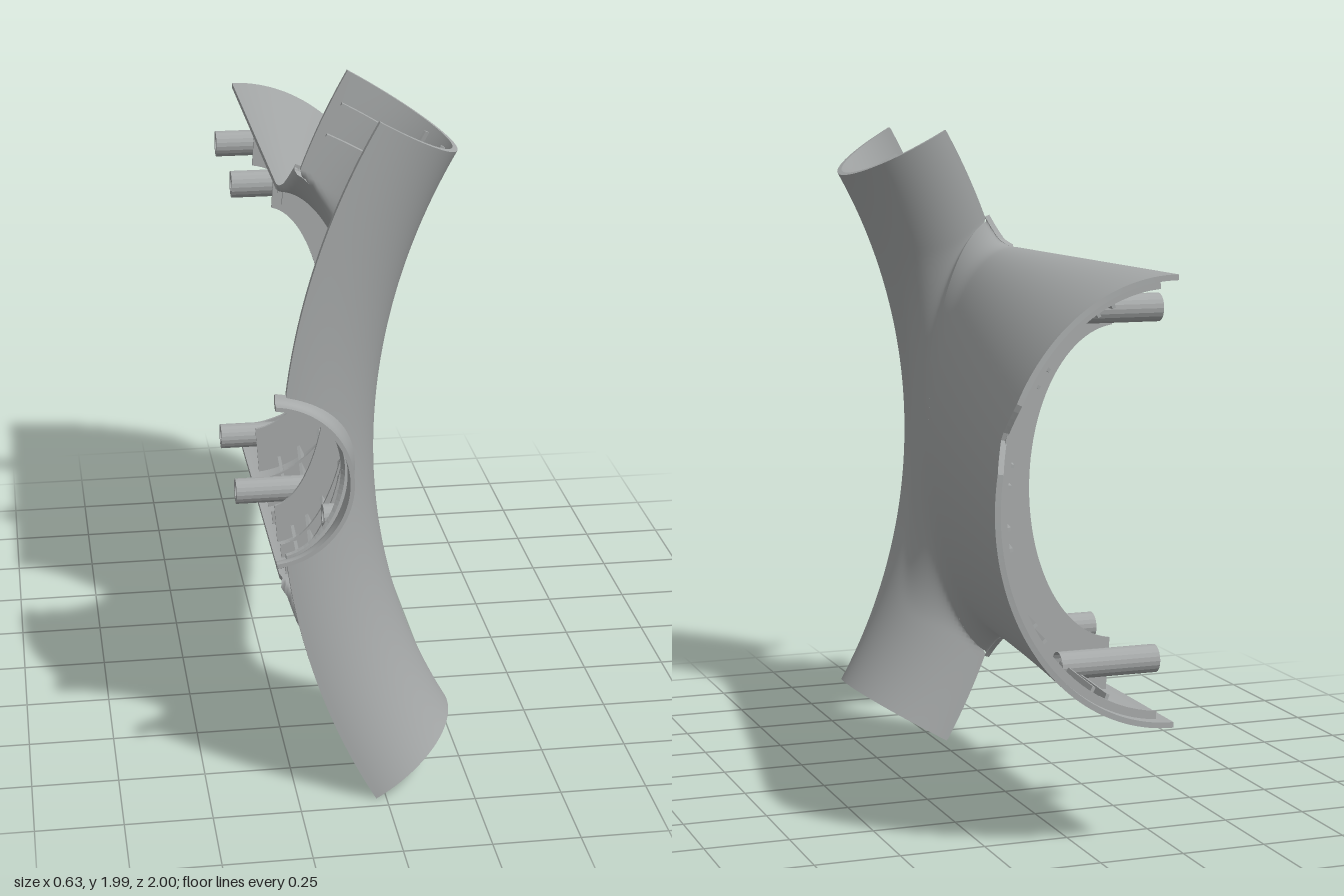
import * as THREE from 'three';
import { mergeGeometries } from 'three/addons/utils/BufferGeometryUtils.js';

const { sqrt, sin, cos, max, min, abs, sign, PI } = Math;
const clamp = THREE.MathUtils.clamp;

// Curved half tube: centre line is an arc in the xy plane
const ARC_X = 1.69, ARC_R = 1.985, TUBE_R = 0.295, TUBE_Z = 0.665, ARC_ANGLE = 0.5236;
// Round opening in the front of the tube
const HOLE_X = -0.335, HOLE_R = 0.224;
// Tapered half barrel
const EDGE_X = -0.215, WALL = 0.016;

const depthAt = z => 0.528 - 0.205 * (z + 1);
const filletAt = z => clamp((z - 0.23) / 0.14, 0, 1);
const halfHeightAt = z => 0.628 + 0.09 * filletAt(z) ** 2.5;

function barrelPoint(a, z, inset = 0) {
  const y = 1 + (halfHeightAt(z) - inset) * sin(a);
  const x = EDGE_X + (depthAt(z) - inset) * cos(a);
  // the open edge bends over to meet the edge of the tube
  const tubeEdge = ARC_X - sqrt(ARC_R * ARC_R - (y - 1) * (y - 1));
  const lowest = EDGE_X + (tubeEdge - EDGE_X) * min(1, 1.8 * filletAt(z));
  return [max(x, lowest), y, z];
}
function barrelX(y, z) {
  const q = abs(y - 1) / halfHeightAt(z);
  return q < 1 ? EDGE_X + depthAt(z) * sqrt(1 - q * q) : -9;
}
function smoothMax(a, b, k) {
  const h = max(k - abs(a - b), 0);
  return max(a, b) + (k > 0.0001 ? h * h / (4 * k) : 0);
}
function tubeFrontZ(x, y) {
  const d = clamp(ARC_R - Math.hypot(x - ARC_X, y - 1), 0, TUBE_R);
  return TUBE_Z + sqrt(TUBE_R * TUBE_R - d * d);
}

// Thin closed wall from a grid of points: outer skin, inner skin and rims
function shell(nu, nv, point, wall = WALL) {
  const pos = [], drop = [], index = [], edges = new Map();
  for (let i = 0; i <= nu; i++) for (let j = 0; j <= nv; j++) {
    const p = point(i / nu, j / nv);
    pos.push(p[0], p[1], p[2]);
    drop.push(!!p[3]);
  }
  const addFace = (a, b, c) => {
    if (drop[a] && drop[b] && drop[c]) return;
    index.push(a, b, c);
    for (const [s, e] of [[a, b], [b, c], [c, a]]) {
      if (!edges.delete(e + '_' + s)) edges.set(s + '_' + e, [s, e]);
    }
  };
  for (let i = 0; i < nu; i++) for (let j = 0; j < nv; j++) {
    const a = i * (nv + 1) + j, b = a + nv + 1;
    addFace(a, b, a + 1);
    addFace(b, b + 1, a + 1);
  }
  const outer = new THREE.BufferGeometry();
  outer.setAttribute('position', new THREE.Float32BufferAttribute(pos, 3));
  outer.setIndex(index);
  outer.computeVertexNormals();
  const n = outer.attributes.normal.array;
  const inPos = pos.map((v, k) => v - n[k] * wall);
  const inner = new THREE.BufferGeometry();
  inner.setAttribute('position', new THREE.Float32BufferAttribute(inPos, 3));
  const flipped = [];
  for (let k = 0; k < index.length; k += 3) flipped.push(index[k], index[k + 2], index[k + 1]);
  inner.setIndex(flipped);
  inner.computeVertexNormals();
  const rimPos = [];
  const at = (arr, k) => arr.slice(k * 3, k * 3 + 3);
  for (const [s, e] of edges.values()) {
    const a = at(pos, s), b = at(pos, e), c = at(inPos, s), d = at(inPos, e);
    rimPos.push(...a, ...c, ...b, ...b, ...c, ...d);
  }
  const rim = new THREE.BufferGeometry();
  rim.setAttribute('position', new THREE.Float32BufferAttribute(rimPos, 3));
  rim.computeVertexNormals();
  return mergeGeometries([outer.toNonIndexed(), inner.toNonIndexed(), rim]);
}

export function createModel() {
  const model = new THREE.Group();
  model.name = 'pipeJunctionHalf';
  const grey = new THREE.MeshStandardMaterial({ color: 0xa6a9a9, side: THREE.DoubleSide });
  grey.name = 'plasticGrey';
  const add = (name, geometry) => {
    const mesh = new THREE.Mesh(geometry, grey);
    mesh.name = name;
    model.add(mesh);
    return mesh;
  };

  // Tapered barrel, with a small V notch in its back rim
  add('barrelShell', shell(90, 60, (u, v) => {
    const a = (u - 0.5) * PI;
    const notch = max(0, 0.05 - 0.55 * abs(0.628 * sin(a) - 0.2)) * (1 - v) ** 12;
    const z = v < 0.6 ? -1 + 1.23 * v / 0.6 : 0.23 + 0.14 * sin((v - 0.6) / 0.4 * PI / 2);
    return barrelPoint(a, z + notch);
  }));

  // Curved half tube, swelling into the barrel behind and cut by the round opening
  add('curvedTubeShell', shell(140, 56, (u, v) => {
    const a = (u - 0.5) * 2 * ARC_ANGLE, t = PI * (1 - v);
    const r = ARC_R - TUBE_R * sin(t);
    let x = ARC_X - r * cos(a), y = 1 + r * sin(a), z = TUBE_Z + TUBE_R * cos(t), inside = false;
    if (z < TUBE_Z) {
      const blend = 0.14 * sin(PI * min(1, (TUBE_Z - z) / TUBE_R));
      x = smoothMax(x, barrelX(y, z), blend);
    } else {
      const dx = x - HOLE_X, dy = y - 1, d = Math.hypot(dx, dy);
      if (d < HOLE_R) {
        inside = true;
        x = HOLE_X + dx / d * HOLE_R;
        y = 1 + dy / d * HOLE_R;
        z = tubeFrontZ(x, y);
      }
    }
    return [x, y, z, inside];
  }));

  // Collar standing out around the opening
  add('openingCollar', shell(48, 8, (u, v) => {
    const a = (u - 0.5) * 2.94;
    const r = HOLE_R + 0.012 + 0.022 * (1 - v) ** 4;
    const x = HOLE_X + r * cos(a), y = 1 + r * sin(a);
    const base = tubeFrontZ(x, y) - 0.004;
    return [x, y, base + (1 - base) * v];
  }, 0.012));

  // Cross ribs inside the barrel, two of them deep: [z, depth]
  const crossRibs = [[-0.95, 0.03], [-0.58, 0.16], [-0.42, 0.05], [-0.28, 0.05],
    [-0.14, 0.05], [0, 0.13], [0.12, 0.05], [0.24, 0.05]];
  for (const [z, depth] of crossRibs) {
    add('barrelCrossRib', shell(48, 1, (u, v) =>
      barrelPoint((u - 0.5) * 3.0, z, 0.01 + depth * v), 0.01));
  }

  // Long ribs and short paired fins inside the barrel, mirrored top and bottom
  const longRib = (name, a, z0, z1, depth) => add(name, shell(20, 1, (u, v) =>
    barrelPoint(a, z0 + (z1 - z0) * u, 0.01 + depth * v), 0.01));
  for (const side of [-1, 1]) {
    for (const a of [0.3, 0.65, 0.95, 1.15, 1.33]) longRib('barrelLongRib', side * a, -0.57, 0.24, 0.045);
    for (const a of [0.1, 0.2, 0.6, 0.7, 1.1, 1.2]) longRib('barrelFin', side * a, -0.94, -0.59, 0.045);
  }

  // Ribs inside both ends of the tube
  const tubePoint = (a, t, inset) => {
    const r = ARC_R - (TUBE_R - inset) * sin(t);
    return [ARC_X - r * cos(a), 1 + r * sin(a), TUBE_Z + (TUBE_R - inset) * cos(t)];
  };
  for (const side of [-1, 1]) {
    for (const a of [0.43, 0.48]) {
      add('tubeCrossRib', shell(32, 1, (u, v) =>
        tubePoint(side * a, 0.1 + u * (PI - 0.2), 0.01 + 0.025 * v), 0.008));
    }
    for (const t of [1.62, 2.03]) {
      add('tubeLongRib', shell(12, 1, (u, v) =>
        tubePoint(side * (0.4 + 0.11 * u), t, 0.01 + 0.02 * v), 0.008));
    }
  }

  // Hollow screw posts pointing out of the open side
  const post = (name, x0, x1, y, z, r) => {
    const len = x1 - x0, bore = r * 0.55;
    const profile = [[0, 0.06], [bore, 0.06], [bore, 0], [r, 0], [r, len]]
      .map(([px, py]) => new THREE.Vector2(px, py));
    const geo = new THREE.LatheGeometry(profile, 20).toNonIndexed();
    geo.computeVertexNormals();
    const mesh = add(name, geo);
    mesh.rotation.z = -PI / 2;
    mesh.position.set(x0, y, z);
  };
  for (const y of [0.49, 1.51]) for (const z of [-0.667, -0.19]) {
    post('screwPost', -0.305, barrelX(y + 0.041 * sign(y - 1), z) - 0.008, y, z, 0.041);
  }
  post('tubePost', -0.14, 0.0, 0.76, 0.655, 0.036);

  return model;
}
